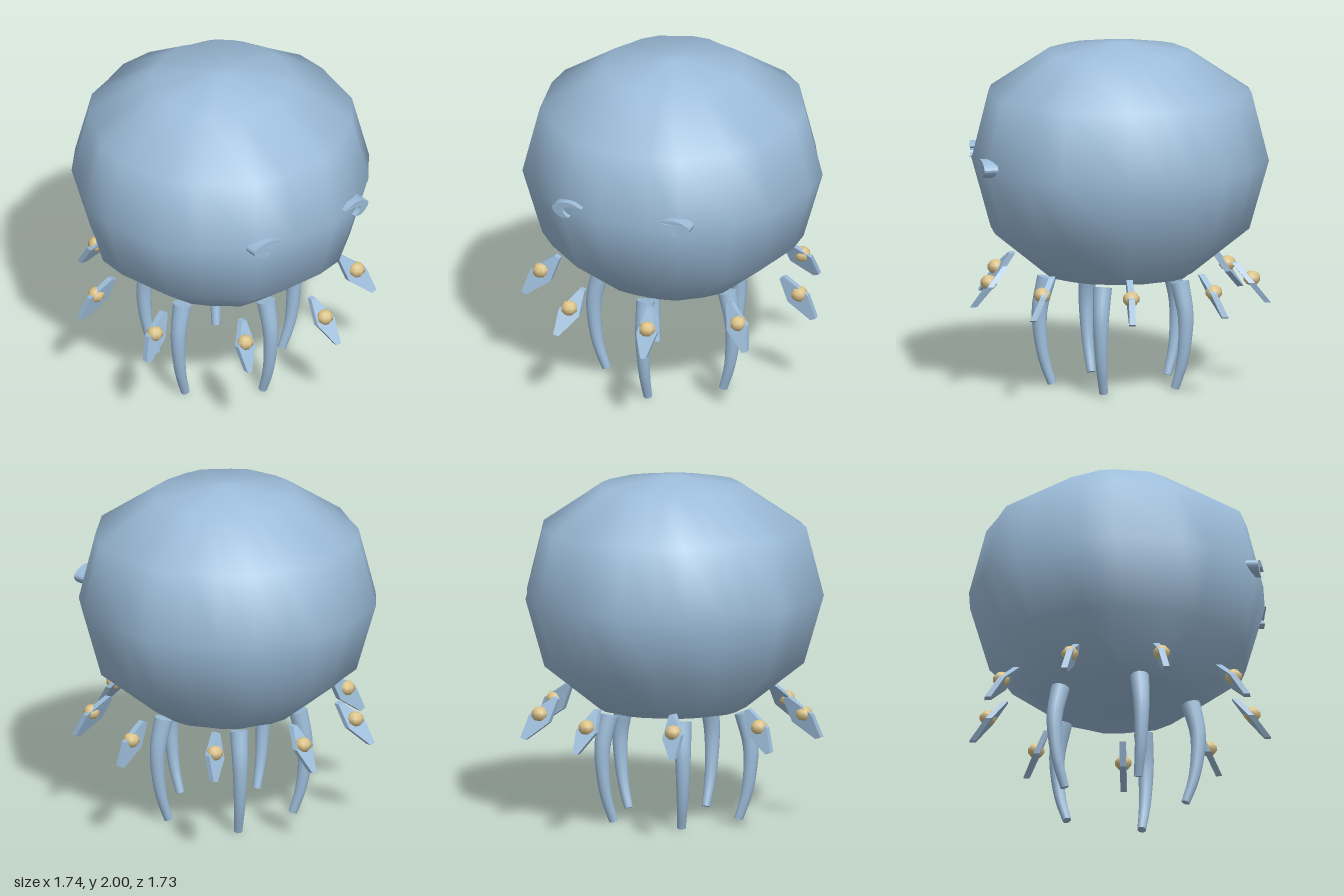
import * as THREE from 'three';

export function createModel() {
  const group = new THREE.Group();
  const blue = new THREE.MeshStandardMaterial({ color: 0x9cbcd9 });
  blue.name = 'pale blue';
  const gold = new THREE.MeshStandardMaterial({ color: 0xdcc48a });
  gold.name = 'sand gold';

  const add = (name, geometry, material) => {
    const mesh = new THREE.Mesh(geometry, material);
    mesh.name = name;
    group.add(mesh);
    return mesh;
  };

  // Bell: one uneven outline (x, z), scaled ring by ring
  const outline = [
    [-0.12, -0.86], [0.1, -0.86], [0.28, -0.78], [0.48, -0.72], [0.64, -0.57], [0.73, -0.39],
    [0.83, -0.21], [0.84, 0], [0.76, 0.4], [0.6, 0.59], [0.34, 0.79], [0.15, 0.83],
    [-0.15, 0.83], [-0.38, 0.79], [-0.65, 0.55], [-0.79, 0.38], [-0.86, 0], [-0.85, -0.21],
    [-0.74, -0.4], [-0.66, -0.56], [-0.5, -0.72], [-0.32, -0.78],
  ];
  const rings = [ // scale, height
    [0, 2], [0.06, 1.999], [0.475, 1.94], [0.885, 1.7], [1, 1.305],
    [0.87, 0.91], [0.49, 0.65], [0.06, 0.586], [0, 0.585],
  ];
  const positions = [];
  const indices = [];
  const n = outline.length;
  rings.forEach(([s, y], i) => {
    outline.forEach(([x, z], j) => {
      positions.push(x * s, y, z * s);
      if (i === rings.length - 1) return;
      const a = i * n + j, b = i * n + ((j + 1) % n);
      if (i > 0) indices.push(a, b, a + n);
      if (i < rings.length - 2) indices.push(b, b + n, a + n);
      else return;
    });
  });
  const bell = new THREE.BufferGeometry();
  bell.setAttribute('position', new THREE.Float32BufferAttribute(positions, 3));
  bell.setIndex(indices);
  bell.computeVertexNormals();
  // The collapsed end rings point straight up and down
  for (let j = 0; j < n; j++) {
    bell.attributes.normal.setXYZ(j, 0, 1, 0);
    bell.attributes.normal.setXYZ((rings.length - 1) * n + j, 0, -1, 0);
  }
  add('bell', bell, blue);

  // Eyes: hooked crescents, mirrored
  for (const side of [-1, 1]) {
    const at = (x, y) => new THREE.Vector2(side * x - 0.01, y);
    const upper = new THREE.SplineCurve([
      at(0.235, 1.355), at(0.29, 1.374), at(0.36, 1.372), at(0.42, 1.34),
      at(0.415, 1.305), at(0.365, 1.276), at(0.315, 1.285),
    ]);
    const inner = new THREE.SplineCurve([
      at(0.315, 1.285), at(0.345, 1.3), at(0.357, 1.325), at(0.32, 1.35), at(0.235, 1.355),
    ]);
    const shape = new THREE.Shape([...upper.getPoints(18), ...inner.getPoints(10).slice(1, -1)]);
    const eye = new THREE.ExtrudeGeometry(shape, { depth: 0.08, bevelEnabled: false });
    // Front faces slope back toward the sides
    const p = eye.attributes.position;
    for (let i = 0; i < p.count; i++) {
      p.setZ(i, p.getZ(i) + 0.755 - 0.15 * Math.max(0, Math.abs(p.getX(i)) - 0.25));
    }
    eye.computeVertexNormals();
    add(side > 0 ? 'leftEye' : 'rightEye', eye, blue);
  }

  // Tentacles: five tapered bowed tubes with closed ends
  const sides = 12, steps = 12;
  for (let k = 0; k < 5; k++) {
    const angle = Math.PI / 2 + (k * Math.PI * 2) / 5;
    const c = Math.cos(angle), s = Math.sin(angle);
    const path = new THREE.CatmullRomCurve3(
      [[0.41, 0.63], [0.45, 0.45], [0.448, 0.3], [0.425, 0.15], [0.38, 0.01]]
        .map(([r, y]) => new THREE.Vector3(r * c - 0.015, y, r * s)));
    const tube = new THREE.TubeGeometry(path, steps, 1, sides, false);
    const p = tube.attributes.position;
    const v = new THREE.Vector3();
    for (let i = 0; i <= steps; i++) {
      const centre = path.getPointAt(i / steps);
      const radius = 0.055 - 0.03 * (i / steps);
      for (let j = 0; j <= sides; j++) {
        const id = i * (sides + 1) + j;
        v.fromBufferAttribute(p, id).sub(centre).multiplyScalar(radius).add(centre);
        p.setXYZ(id, v.x, v.y, v.z);
      }
    }
    add('tentacle', tube, blue);
    for (const end of [0, 1]) {
      const cap = add('tentacleEnd', new THREE.CircleGeometry(0.055 - 0.03 * end, sides), blue);
      const centre = path.getPointAt(end);
      const dir = path.getTangentAt(end).multiplyScalar(end ? 1 : -1);
      cap.position.copy(centre);
      cap.lookAt(centre.clone().add(dir));
    }
  }

  // Floating ring of nine leaning diamond plates, each holding a bead
  const diamond = new THREE.Shape([
    [-0.016, -0.5], [0.016, -0.5], [0.062, 0], [0.016, 0.5], [-0.016, 0.5], [-0.062, 0],
  ].map(([x, y]) => new THREE.Vector2(x, y)));
  for (let k = 0; k < 9; k++) {
    const angle = (k * Math.PI * 2) / 9;
    const c = Math.cos(angle), s = Math.sin(angle);
    const plate = new THREE.ExtrudeGeometry(diamond, { depth: 0.036, bevelEnabled: false });
    plate.translate(0, 0, -0.018);
    plate.applyMatrix4(new THREE.Matrix4().makeBasis(
      new THREE.Vector3(1, 0.45 * c, 0),
      new THREE.Vector3(-0.19 * c, 0.23, -0.19 * s),
      new THREE.Vector3(0, 0, 1),
    ).setPosition(0.765 * c, 0.605, 0.765 * s));
    add('diamondPlate', plate, blue);

    const bead = add('bead', new THREE.SphereGeometry(0.05, 8, 5), gold);
    bead.scale.y = 0.88;
    bead.position.set(0.77 * c, 0.63, 0.77 * s);
  }

  return group;
}
